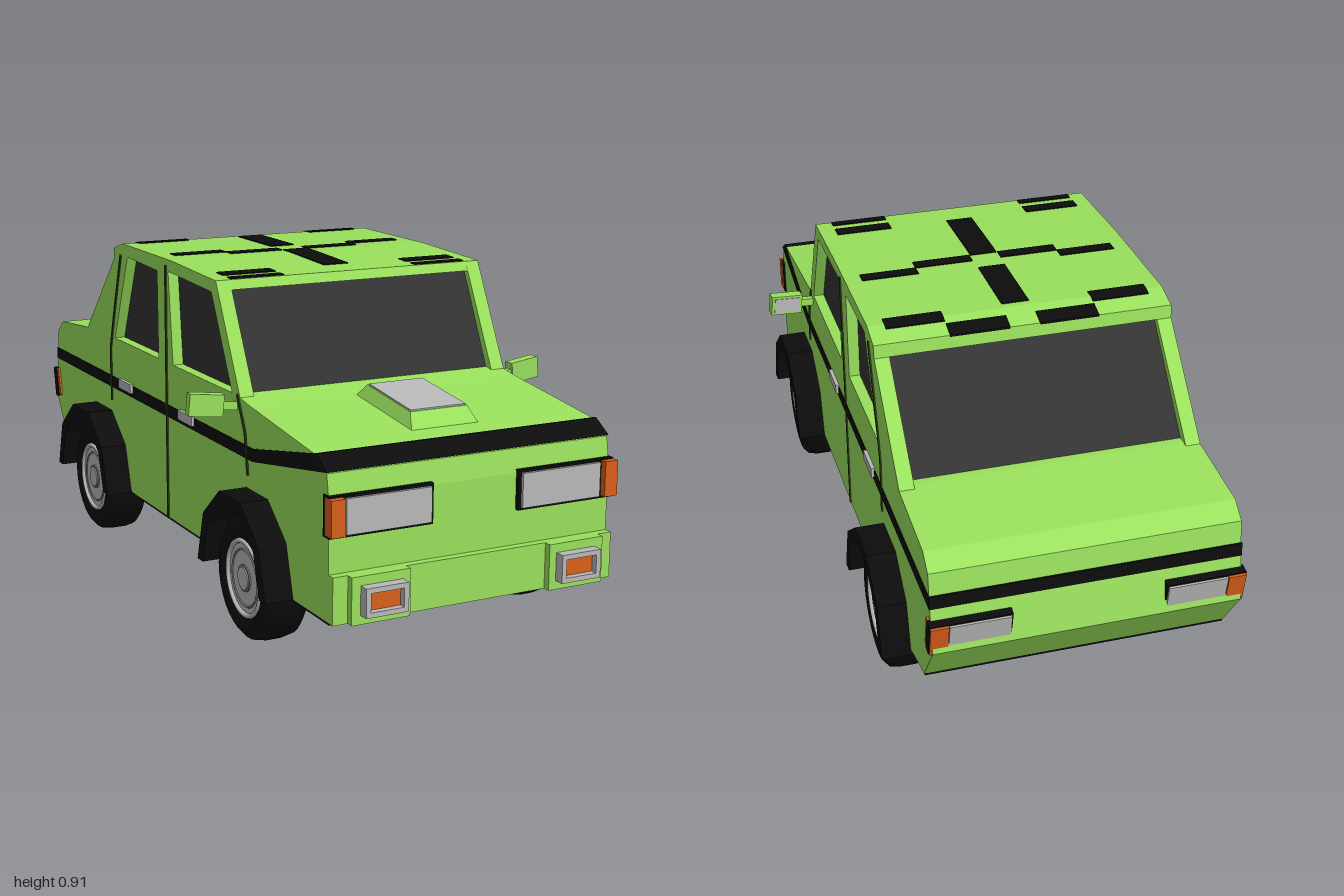
import * as THREE from 'three';
import { ConvexGeometry } from 'three/addons/geometries/ConvexGeometry.js';

const paint = (color, flatShading = false) => new THREE.MeshStandardMaterial({ color, flatShading });
const green = paint(0x99e05c), black = paint(0x0c0c0c), glass = paint(0x333333);
const grey = paint(0xb8b8b8), dark = paint(0x777777), orange = paint(0xd95f1a), seam = paint(0x2a4418);

export function createModel() {
  const car = new THREE.Group();
  car.name = 'car';

  const add = (name, geometry, material, parent = car) => {
    const mesh = new THREE.Mesh(geometry, material);
    mesh.name = name;
    parent.add(mesh);
    return mesh;
  };
  const toShape = pts => new THREE.Shape(pts.map(p => new THREE.Vector2(p[0], p[1])));

  // Side profile of [z, y] points, extruded across the width from x0 to x1
  const slab = (name, pts, x0, x1, material, holes = []) => {
    const shape = toShape(pts);
    holes.forEach(h => shape.holes.push(toShape(h)));
    const geo = new THREE.ExtrudeGeometry(shape, { depth: x1 - x0, bevelEnabled: false });
    return add(name, geo.rotateY(-Math.PI / 2).translate(x1, 0, 0), material);
  };
  // The same slab on both flanks
  const slabPair = (name, pts, x0, x1, material, holes) => {
    slab(name + 'Left', pts, x0, x1, material, holes);
    slab(name + 'Right', pts, -x1, -x0, material, holes);
  };
  // Box given by its limits
  const box = (name, x0, x1, y0, y1, z0, z1, material, parent) =>
    add(name, new THREE.BoxGeometry(x1 - x0, y1 - y0, z1 - z0)
      .translate((x0 + x1) / 2, (y0 + y1) / 2, (z0 + z1) / 2), material, parent);
  const boxPair = (name, x0, x1, ...rest) => {
    box(name + 'Left', x0, x1, ...rest);
    box(name + 'Right', -x1, -x0, ...rest);
  };

  // Half-ellipse wheel arch points, running from rear to front
  const axles = [{ z: -0.55, rx: 0.215 }, { z: 0.54, rx: 0.205 }];
  const arch = (z, rx, ry) => Array.from({ length: 6 }, (_, i) => {
    const a = Math.PI * (1 - i / 5);
    return [z + rx * Math.cos(a), 0.165 + ry * Math.sin(a)];
  });

  // Lower body: solid middle, flanks with the wheel arches cut out
  const upper = [[0.93, 0.165], [0.93, 0.47], [0.92, 0.53], [0.87, 0.562], [0.5, 0.605], [0.42, 0.618],
    [-0.66, 0.612], [-0.91, 0.59], [-0.955, 0.555], [-0.966, 0.47], [-0.99, 0.34], [-0.9, 0.21], [-0.77, 0.18]];
  const cuts = axles.flatMap(a => arch(a.z, a.rx - 0.015, 0.22));
  slab('bodyCentre', [...upper, [-0.7, 0.165]], -0.31, 0.31, green);
  slabPair('bodyFlank', [...upper, ...cuts], 0.31, 0.4, green);

  // Black underside
  slab('floor', [[0.93, 0.166], [-0.7, 0.166], [-0.9, 0.211], [-0.9, 0.204], [-0.7, 0.159], [0.93, 0.159]], -0.31, 0.31, black);
  slabPair('sillFront', [[0.93, 0.166], [0.74, 0.166], [0.74, 0.159], [0.93, 0.159]], 0.31, 0.398, black);
  slabPair('sillMiddle', [[0.34, 0.166], [-0.34, 0.166], [-0.34, 0.159], [0.34, 0.159]], 0.31, 0.398, black);
  slabPair('sillRear', [[-0.76, 0.182], [-0.9, 0.211], [-0.9, 0.204], [-0.76, 0.174]], 0.31, 0.398, black);

  // Wheel arch flares with a closed inner wall
  for (const { z, rx } of axles) {
    slabPair('archFlare', [...arch(z, rx, 0.232), ...arch(z, rx - 0.034, 0.195).reverse()], 0.308, 0.477, black);
    slabPair('archWall', arch(z, rx - 0.01, 0.215), 0.305, 0.314, black);
  }

  // Cabin: dark glazed core, side frames with window openings, roof panel
  slab('glazing', [[0.425, 0.6], [0.288, 0.88], [-0.41, 0.88], [-0.41, 0.855], [-0.65, 0.6]], -0.37, 0.37, glass);
  slabPair('cabinSide', [[0.445, 0.612], [0.3, 0.895], [0, 0.908], [-0.36, 0.91], [-0.43, 0.89], [-0.435, 0.855], [-0.68, 0.608]],
    0.36, 0.4, green, [
      [[0.395, 0.617], [0.27, 0.862], [-0.02, 0.875], [0.005, 0.617]],
      [[-0.1, 0.617], [-0.1, 0.867], [-0.325, 0.875], [-0.44, 0.617]],
    ]);
  slab('roof', [[0.3, 0.895], [0, 0.908], [-0.36, 0.91], [-0.43, 0.89], [-0.435, 0.855], [-0.36, 0.87], [0.28, 0.865], [0.312, 0.87]],
    -0.36, 0.36, green);

  // Roof dashes, bent to follow the roof line
  const roofY = z => z > 0 ? 0.908 - 0.0433 * z : z > -0.36 ? 0.908 - 0.0056 * z : 0.91 + 0.286 * (z + 0.36);
  const dash = (x0, x1, z0, z1) => {
    const geo = new THREE.BoxGeometry(x1 - x0, 0.006, z1 - z0, 1, 1, 8).translate((x0 + x1) / 2, 0, (z0 + z1) / 2);
    const p = geo.attributes.position;
    for (let i = 0; i < p.count; i++) p.setY(i, p.getY(i) + roofY(p.getZ(i)));
    geo.computeVertexNormals();
    add('roofDash', geo, black);
  };
  dash(-0.037, 0.037, -0.34, -0.12);
  dash(-0.037, 0.037, -0.04, 0.21);
  for (const [x0, x1, z0, z1] of [[0.04, 0.2, -0.432, -0.39], [0.2, 0.355, -0.38, -0.337], [0.2, 0.355, -0.11, -0.075],
    [0.04, 0.2, -0.075, -0.04], [0.2, 0.355, 0.205, 0.245], [0.04, 0.2, 0.205, 0.208], [0.2, 0.355, 0.272, 0.296]]) {
    if (z1 - z0 < 0.01) continue;
    dash(x0, x1, z0, z1);
    dash(-x1, -x0, z0, z1);
  }

  // Waist stripe running round the whole body
  slab('waistStripe', [[0.87, 0.567], [0.924, 0.533], [0.52, 0.463], [-0.97, 0.46], [-0.967, 0.495], [0.52, 0.497]],
    -0.402, 0.402, black);

  // Bonnet scoop: tapered block with a grey top
  const frustum = (name, a, b, material) => add(name, new ConvexGeometry([a, b].flatMap(ring =>
    ring.flatMap(([x, y, z]) => [new THREE.Vector3(x, y, z), new THREE.Vector3(-x, y, z)]))), material);
  frustum('bonnetScoop', [[0.1, 0.56, 0.8], [0.1, 0.595, 0.5]], [[0.083, 0.61, 0.76], [0.083, 0.636, 0.54]], green);
  frustum('scoopTop', [[0.08, 0.605, 0.757], [0.08, 0.63, 0.545]], [[0.08, 0.614, 0.757], [0.08, 0.639, 0.545]], grey);

  // Headlights and corner indicators
  boxPair('headlightFrame', 0.122, 0.405, 0.376, 0.479, 0.91, 0.942, black);
  boxPair('headlight', 0.13, 0.362, 0.383, 0.472, 0.92, 0.95, grey);
  boxPair('frontIndicator', 0.37, 0.408, 0.383, 0.475, 0.925, 0.96, orange);

  // Front bumper with raised ends and fog lamps
  box('bumper', -0.4, 0.4, 0.165, 0.285, 0.92, 0.952, green);
  boxPair('bumperEnd', 0.2, 0.36, 0.165, 0.285, 0.93, 0.972, green);
  for (const s of [1, -1]) {
    const rect = (w, h) => toShape([[-w, -h], [w, -h], [w, h], [-w, h]]);
    const frame = rect(0.058, 0.037);
    frame.holes.push(rect(0.045, 0.024));
    add('fogLampFrame', new THREE.ExtrudeGeometry(frame, { depth: 0.03, bevelEnabled: false }), grey)
      .position.set(s * 0.278, 0.225, 0.97);
    add('fogLamp', new THREE.BoxGeometry(0.09, 0.048, 0.012), orange).position.set(s * 0.278, 0.225, 0.976);
  }

  // Tail lights leaning with the rear panel
  for (const s of [1, -1]) {
    const light = new THREE.Group();
    light.name = 'tailLight';
    light.position.set(0, 0.38, -0.979);
    light.rotation.x = -0.19;
    box('tailFrame', s * 0.303 - 0.105, s * 0.303 + 0.105, -0.047, 0.047, -0.006, 0.02, black, light);
    box('reverseLamp', s * 0.28 - 0.078, s * 0.28 + 0.078, -0.042, 0.042, -0.012, 0.015, grey, light);
    box('rearIndicator', s * 0.383 - 0.023, s * 0.383 + 0.023, -0.044, 0.044, -0.013, 0.035, orange, light);
    car.add(light);
  }

  // Door seams, handles and mirrors
  const seams = [[[-0.035, 0.89], [-0.04, 0.6], [-0.045, 0.165]], [[0.43, 0.62], [0.475, 0.53], [0.49, 0.42]],
    [[-0.375, 0.875], [-0.44, 0.69], [-0.475, 0.58], [-0.475, 0.42]]];
  for (const s of [1, -1]) {
    for (const path of seams) for (let i = 1; i < path.length; i++) {
      const [[z0, y0], [z1, y1]] = [path[i - 1], path[i]];
      const line = add('doorSeam', new THREE.BoxGeometry(0.006, Math.hypot(z1 - z0, y1 - y0), 0.009), seam);
      line.position.set(s * 0.4005, (y0 + y1) / 2, (z0 + z1) / 2);
      line.rotation.x = Math.atan2(z0 - z1, y0 - y1);
    }
    for (const z of [0.103, -0.348])
      add('doorHandle', new THREE.BoxGeometry(0.02, 0.027, 0.095), grey).position.set(s * 0.4, 0.488, z);

    const mirror = new THREE.Group();
    mirror.name = 'mirror';
    mirror.position.set(s * 0.483, 0.598, 0.41);
    mirror.rotation.set(0, s * 0.12, s * 0.1);
    add('mirrorShell', new THREE.BoxGeometry(0.092, 0.058, 0.03), green, mirror);
    add('mirrorGlass', new THREE.BoxGeometry(0.076, 0.044, 0.006), grey, mirror).position.z = -0.014;
    add('mirrorArm', new THREE.BoxGeometry(0.06, 0.022, 0.018), green, mirror).position.x = -s * 0.065;
    car.add(mirror);
  }

  // Wheels: rounded tyre and a stepped rim on both faces
  const lathe = pts => new THREE.LatheGeometry(pts.map(p => new THREE.Vector2(...p)), 32).rotateZ(-Math.PI / 2);
  const tyre = lathe([[0.1, -0.05], [0.115, -0.06], [0.145, -0.058], [0.16, -0.045], [0.165, -0.02],
    [0.165, 0.02], [0.16, 0.045], [0.145, 0.058], [0.115, 0.06], [0.1, 0.05]]);
  const disc = (r, half) => new THREE.CylinderGeometry(r, r, half * 2, 32).rotateZ(Math.PI / 2);
  const ring = (r, tube) => new THREE.TorusGeometry(r, tube, 8, 32).rotateY(Math.PI / 2);
  for (const { z } of axles) for (const s of [1, -1]) {
    const wheel = new THREE.Group();
    wheel.name = 'wheel';
    wheel.position.set(s * 0.385, 0.165, z);
    add('tyre', tyre, black, wheel);
    add('rim', disc(0.102, 0.05), grey, wheel);
    add('hubRing', disc(0.036, 0.054), dark, wheel);
    add('hub', disc(0.03, 0.057), grey, wheel);
    for (const side of [1, -1]) {
      add('rimEdge', ring(0.098, 0.007), grey, wheel).position.x = side * 0.052;
      add('rimGroove', ring(0.075, 0.003), dark, wheel).position.x = side * 0.05;
    }
    car.add(wheel);
  }
  return car;
}
